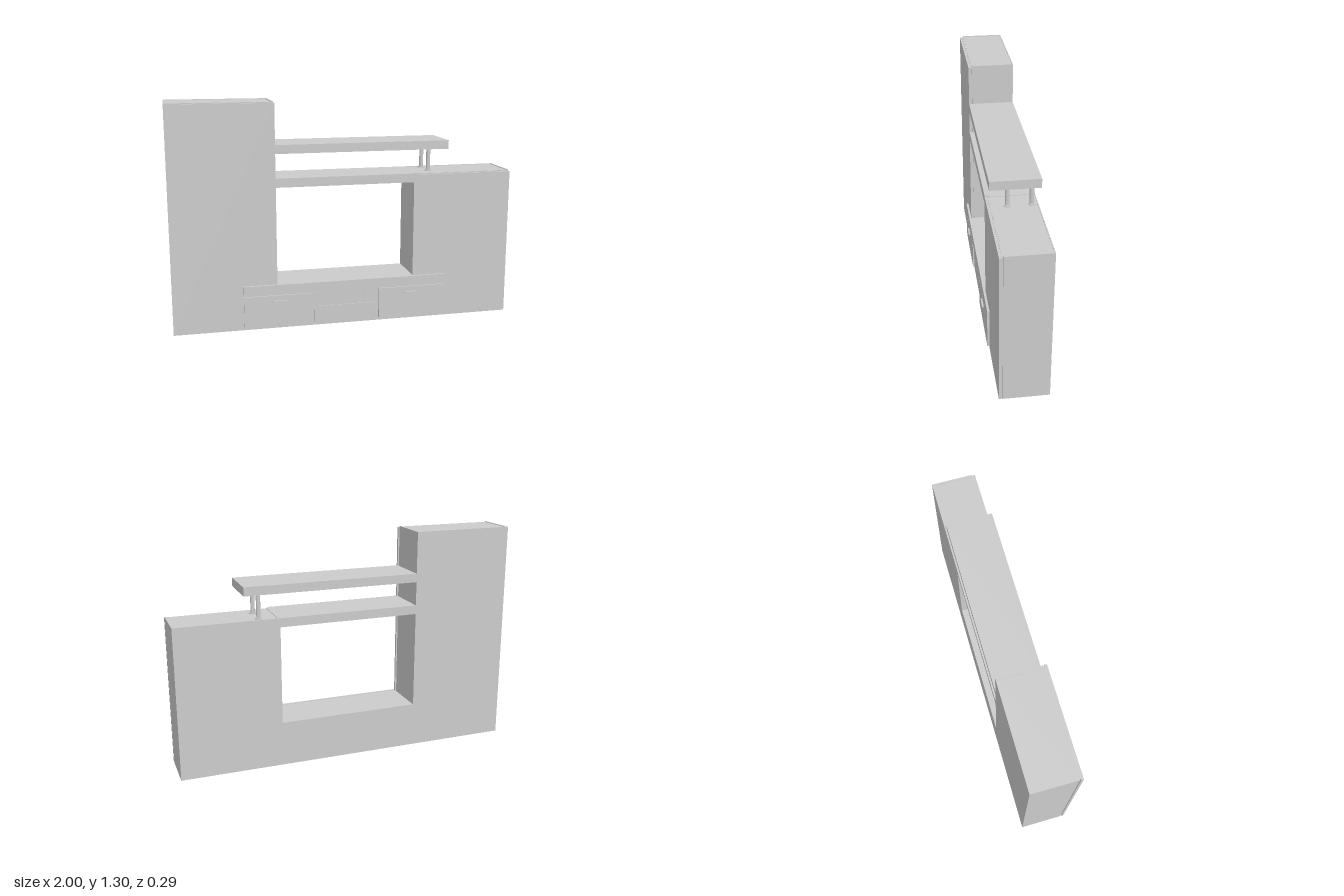
import * as THREE from 'three';

const BACK = -0.145, FRONT = 0.123;

export function createModel() {
  const model = new THREE.Group();
  model.name = 'wallUnit';
  const mat = new THREE.MeshStandardMaterial({ color: 0xcccccc });

  // Box given by its lower and upper limits on each axis
  function box(name, x0, x1, y0, y1, z0, z1, parent = model) {
    const mesh = new THREE.Mesh(new THREE.BoxGeometry(x1 - x0, y1 - y0, z1 - z0), mat);
    mesh.position.set((x0 + x1) / 2, (y0 + y1) / 2, (z0 + z1) / 2);
    mesh.name = name;
    parent.add(mesh);
    return mesh;
  }

  function cylinder(name, r, x, y0, y1, z) {
    const mesh = new THREE.Mesh(new THREE.CylinderGeometry(r, r, y1 - y0, 24), mat);
    mesh.position.set(x, (y0 + y1) / 2, z);
    mesh.name = name;
    model.add(mesh);
  }

  // Cabinet: side panels, inset core, back panel and a door set off by a groove
  function cabinet(name, x0, x1, height) {
    const g = new THREE.Group();
    g.name = name;
    const t = 0.012, inX0 = x0 + (x0 > 0 ? 0.005 : 0), inX1 = x1 - (x0 > 0 ? 0 : 0.005);
    box('sidePanel', inX0, inX0 + t, 0, height, BACK + 0.005, 0.103, g);
    box('sidePanel', inX1 - t, inX1, 0, height, BACK + 0.005, 0.103, g);
    box('core', inX0 + t, inX1 - t, 0, height - 0.003, BACK + 0.005, 0.103, g);
    box('backPanel', inX0, inX1, 0, height, BACK, BACK + 0.005, g);
    box('doorGroove', inX0 + 0.006, inX1 - 0.006, 0, height - 0.004, 0.103, 0.109, g);
    box('door', x0, x1, 0, height - 0.008, 0.109, FRONT, g);
    model.add(g);
  }
  cabinet('tallCabinet', -1, -0.405, 1.305);
  cabinet('lowCabinet', 0.405, 1, 0.877);

  // Centre base and the two bridging shelves
  box('centreBase', -0.41, 0.41, 0, 0.26, BACK, FRONT);
  box('lowerShelf', -0.41, 0.41, 0.825, 0.877, BACK, FRONT);
  box('upperShelf', -0.41, 0.61, 1.015, 1.065, BACK, FRONT);

  // Posts carrying the free end of the upper shelf
  for (const z of [0.018, -0.11]) {
    cylinder('shelfPost', 0.012, 0.523, 0.877, 1.015, z);
    cylinder('postFoot', 0.02, 0.523, 0.875, 0.881, z);
  }
  cylinder('shelfLamp', 0.008, 0.1, 1.008, 1.015, 0.055);

  // Console front: fascia, doors with handles, middle drawers
  box('consoleFascia', -0.6, 0.6, 0.202, 0.262, FRONT, 0.136);
  for (const s of [-1, 1]) {
    const c = s * 0.398;
    box('consoleDoor', c - 0.202, c + 0.202, 0.02, 0.199, FRONT, 0.136);
    box('doorHandle', s * 0.392 - 0.04, s * 0.392 + 0.04, 0.163, 0.169, 0.136, 0.146);
  }
  box('upperDrawer', -0.193, 0.193, 0.118, 0.199, FRONT, 0.128);
  box('lowerDrawer', -0.193, 0.193, 0.02, 0.115, FRONT, 0.128);

  return model;
}
